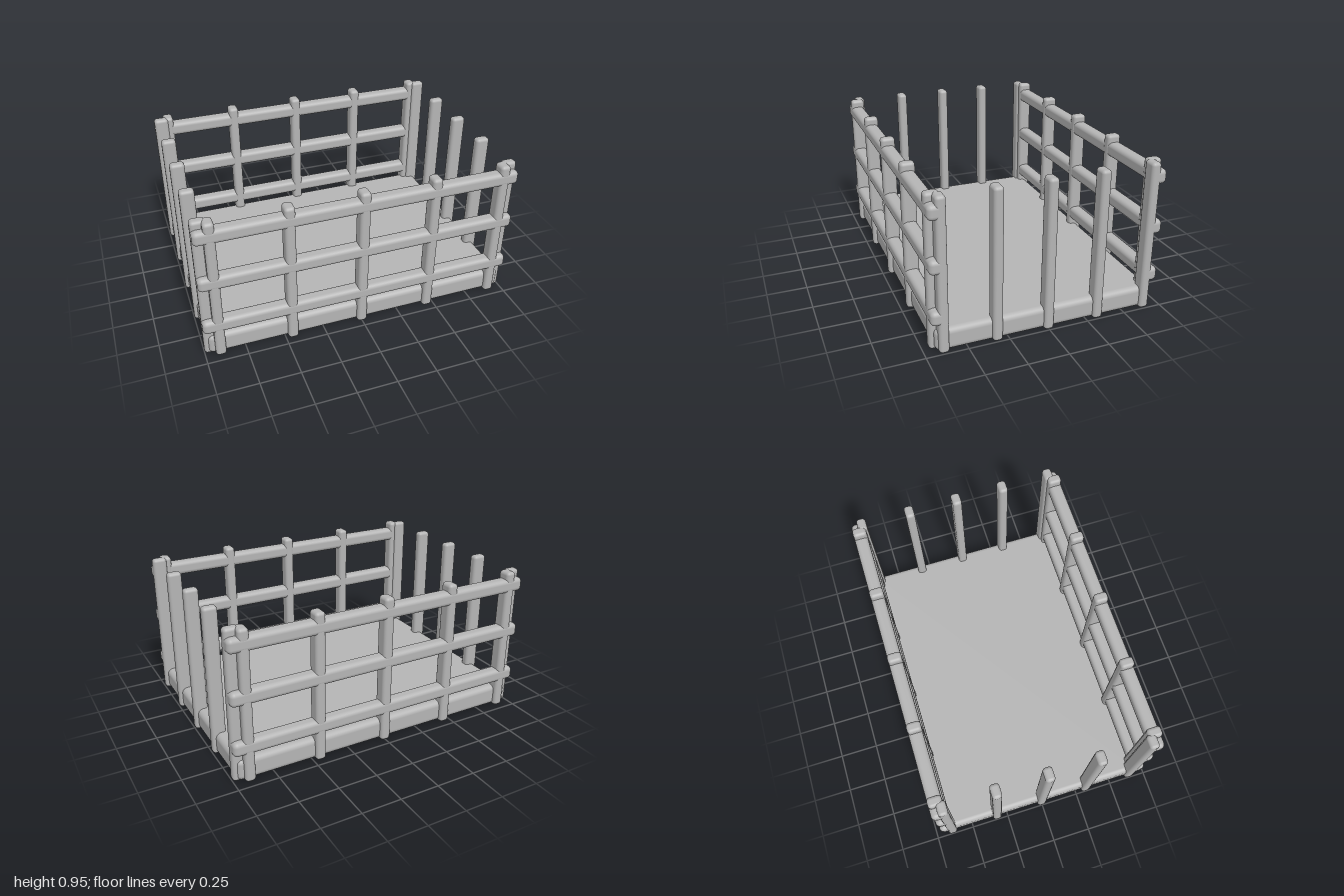
import * as THREE from 'three';
import { RoundedBoxGeometry } from 'three/addons/geometries/RoundedBoxGeometry.js';

export function createModel() {
  const model = new THREE.Group();
  model.name = 'stakeBed';
  const grey = new THREE.MeshStandardMaterial({ color: 0xb4b4b4 });
  grey.name = 'grey';

  // Rounded beam given by its size and centre
  function beam(name, w, h, d, radius, x, y, z) {
    const mesh = new THREE.Mesh(new RoundedBoxGeometry(w, h, d, 4, radius), grey);
    mesh.name = name;
    mesh.position.set(x, y, z);
    model.add(mesh);
  }

  // Floor slab
  beam('floor', 1.956, 0.14, 1.37, 0.035, 0, 0.075, 0);

  for (const s of [-1, 1]) {
    const end = s > 0 ? 'front' : 'back';
    const side = s > 0 ? 'left' : 'right';

    // Upright stakes along the front and back
    for (const x of [-0.905, -0.4525, 0, 0.4525, 0.905])
      beam(end + 'Stake', 0.064, 0.95, 0.088, 0.021, x, 0.479, s * 0.668);

    // Horizontal rails along the front and back
    for (const y of [0.23, 0.545, 0.862])
      beam(end + 'Rail', 1.998, 0.09, 0.086, 0.028, 0, y, s * 0.67);

    // Upright stakes along the open sides
    for (const z of [-0.64, -0.32, 0, 0.32, 0.64])
      beam(side + 'Stake', 0.09, 0.95, 0.06, 0.021, s * 0.954, 0.479, z);
  }
  return model;
}
